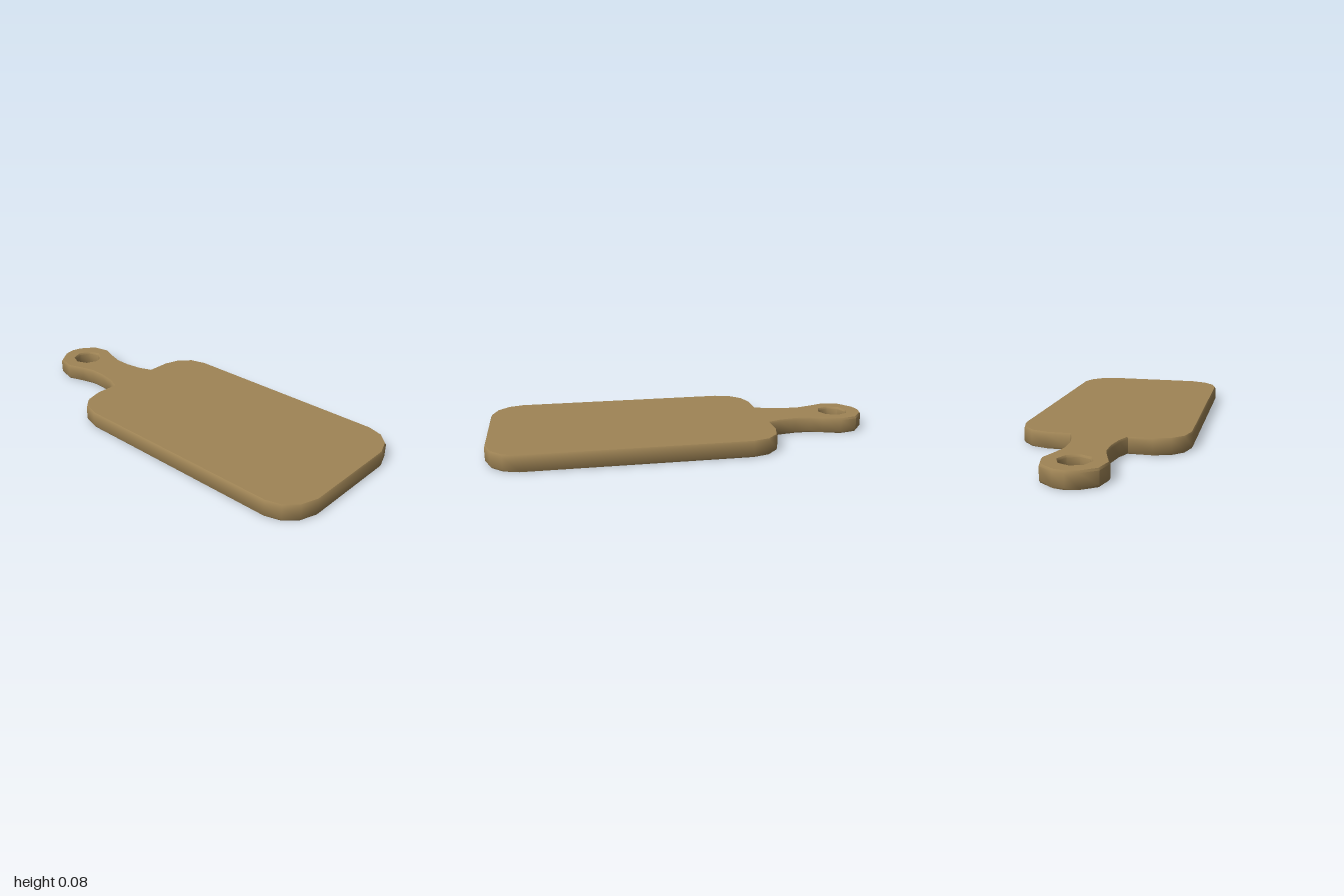
import * as THREE from 'three';
import { toCreasedNormals } from 'three/addons/utils/BufferGeometryUtils.js';

const THICKNESS = 0.083;
const BEVEL = 0.006; // inset of the softened rim
const BEVEL_HEIGHT = 0.01; // steeper than wide, so the faces stay flat and the walls smooth

// Left half of the outline as [x, z], from the front edge round to the handle tip
const halfOutline = [
  [0.26, 1.0], [0.345, 0.97], [0.403, 0.912], [0.427, 0.835],
  [0.427, -0.28], [0.403, -0.365], [0.345, -0.422], [0.26, -0.447],
  [0.142, -0.447], [0.117, -0.51], [0.102, -0.6], [0.102, -0.68],
  [0.12, -0.745], [0.152, -0.838], [0.13, -0.932], [0.057, -0.987],
];

export function createModel() {
  const group = new THREE.Group();
  group.name = 'cuttingBoard';

  // Mirrored outline of the blade and handle; shape y is -z
  const left = halfOutline.map(([x, z]) => new THREE.Vector2(x, -z));
  const right = left.map((p) => new THREE.Vector2(-p.x, p.y)).reverse();
  const outline = new THREE.Shape([...left, new THREE.Vector2(0, 1), ...right]);

  // Eight-sided hanging hole
  const hole = [];
  for (let i = 0; i < 8; i++) {
    const a = (-i / 8) * Math.PI * 2;
    hole.push(new THREE.Vector2(0.075 * Math.cos(a), 0.845 + 0.075 * Math.sin(a)));
  }
  outline.holes.push(new THREE.Path(hole));

  // Board with a slightly softened rim, laid flat on the ground
  const geometry = new THREE.ExtrudeGeometry(outline, {
    depth: THICKNESS - 2 * BEVEL_HEIGHT,
    bevelEnabled: true,
    bevelThickness: BEVEL_HEIGHT,
    bevelSize: BEVEL,
    bevelOffset: -BEVEL,
    bevelSegments: 1,
  });
  geometry.translate(0, 0, BEVEL_HEIGHT);
  geometry.rotateX(-Math.PI / 2);

  const wood = new THREE.MeshStandardMaterial({ color: 0xa08556 });
  const board = new THREE.Mesh(toCreasedNormals(geometry, 0.82), wood);
  board.name = 'boardWithHandle';
  group.add(board);
  return group;
}
